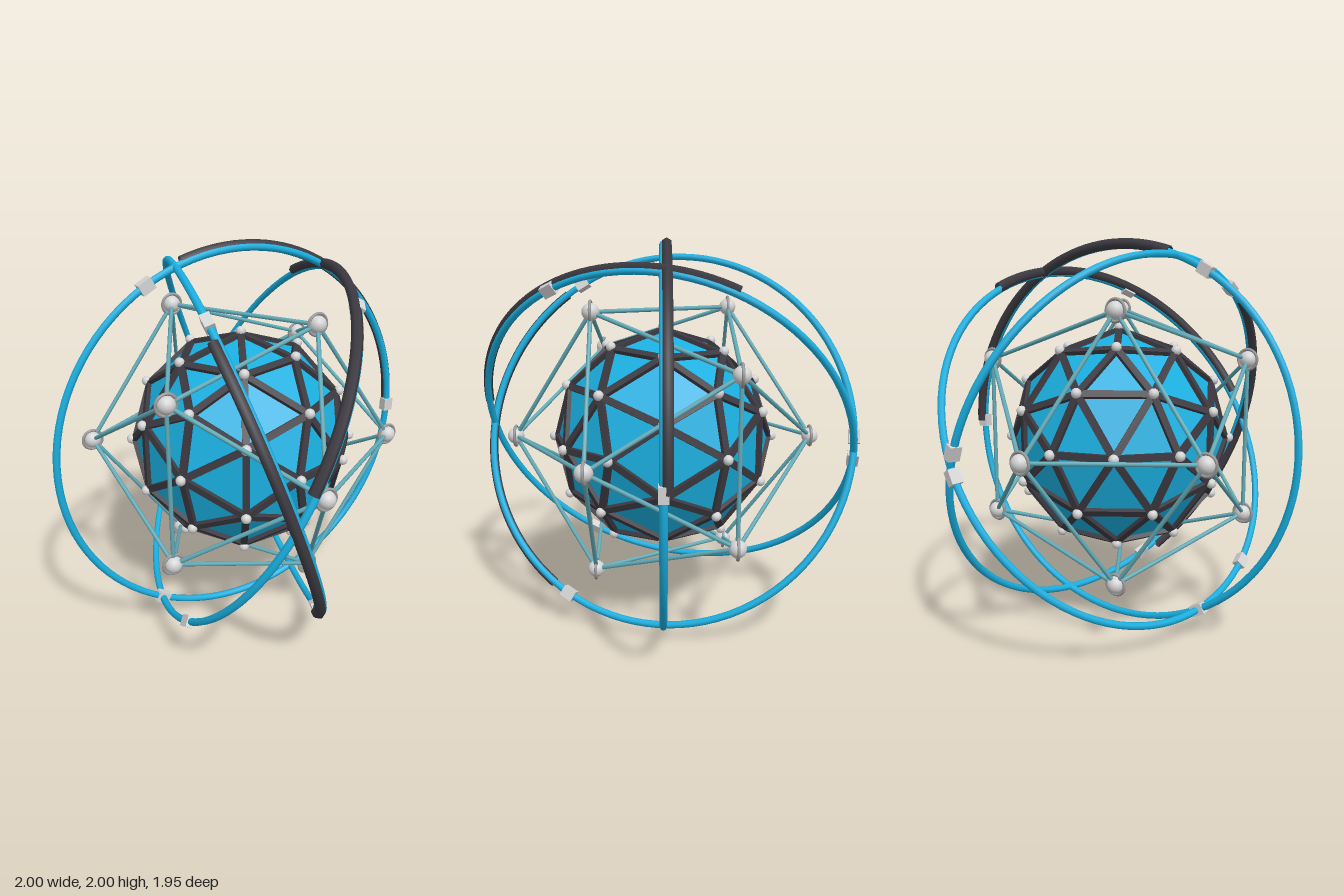
import * as THREE from 'three';
import { ConvexGeometry } from 'three/addons/geometries/ConvexGeometry.js';

const mat = (name, color, side = THREE.FrontSide) => {
  const m = new THREE.MeshStandardMaterial({ color, side });
  m.name = name;
  return m;
};
const V = (x, y, z) => new THREE.Vector3(x, y, z);

// Unit icosahedron with its five-fold axis along z
function icosahedronPoints() {
  const pts = [V(0, 0, 1), V(0, 0, -1)];
  const z = 1 / Math.sqrt(5), r = 2 * z;
  for (let i = 0; i < 10; i++) {
    const a = i * Math.PI / 5;
    pts.push(V(r * Math.cos(a), r * Math.sin(a), i % 2 ? -z : z));
  }
  return pts;
}

// All pairs of points closer than a limit
function edgesOf(pts, limit) {
  const out = [];
  pts.forEach((a, i) => pts.slice(i + 1).forEach(b => {
    if (a.distanceTo(b) < limit) out.push([a, b]);
  }));
  return out;
}

export function createModel() {
  const blue = mat('bright blue', 0x1aafe0);
  const dark = mat('charcoal', 0x3c3a41, THREE.DoubleSide);
  const teal = mat('grey teal', 0x62abb8);
  const silver = mat('light grey', 0xd4d4d4);
  const grey = mat('mid grey', 0x9c9c9c);

  const model = new THREE.Group();
  model.name = 'orbitalSphere';
  const body = new THREE.Group();
  body.name = 'assembly';
  body.position.set(-0.005, 0.993, 0);
  model.add(body);

  const add = (parent, name, geo, material) => {
    const m = new THREE.Mesh(geo, material);
    m.name = name;
    parent.add(m);
    return m;
  };

  // Bar between two points, its z side facing away from the centre
  const bar = (parent, name, geo, material, a, b) => {
    const m = add(parent, name, geo, material);
    const mid = a.clone().add(b).multiplyScalar(0.5);
    const along = b.clone().sub(a);
    const len = along.length();
    along.normalize();
    const out = mid.clone().normalize();
    const across = along.clone().cross(out);
    m.quaternion.setFromRotationMatrix(new THREE.Matrix4().makeBasis(across, along, out));
    m.position.copy(mid);
    m.scale.y = len;
  };

  const ico = icosahedronPoints();
  const icoEdges = edgesOf(ico, 1.1);

  // Faceted core: icosahedron points plus edge midpoints pushed out to the sphere
  const geo42 = ico.concat(icoEdges.map(([a, b]) => a.clone().add(b).normalize()));
  const corePts = geo42.map(p => p.clone().multiplyScalar(0.55));
  const core = new THREE.Group();
  core.name = 'core';
  body.add(core);
  add(core, 'corePanels', new ConvexGeometry(corePts), blue);
  const beamGeo = new THREE.BoxGeometry(0.034, 1, 0.036);
  edgesOf(corePts, 0.7 * 0.55).forEach(([a, b]) => bar(core, 'coreBeam', beamGeo, dark, a, b));
  const studGeo = new THREE.SphereGeometry(0.025, 12, 8);
  geo42.forEach(p => add(core, 'coreStud', studGeo, silver).position.copy(p).multiplyScalar(0.57));

  // Outer cage: rods, ball nodes and a thin collar on each node
  const cage = new THREE.Group();
  cage.name = 'cage';
  body.add(cage);
  const rodGeo = new THREE.CylinderGeometry(0.0105, 0.0105, 1, 8);
  const nodeGeo = new THREE.SphereGeometry(0.043, 16, 12);
  const collarGeo = new THREE.TorusGeometry(0.051, 0.008, 6, 24);
  const R = 0.772;
  icoEdges.forEach(([a, b]) => bar(cage, 'cageRod', rodGeo, teal,
    a.clone().multiplyScalar(R), b.clone().multiplyScalar(R)));
  ico.forEach(p => {
    add(cage, 'cageNode', nodeGeo, silver).position.copy(p).multiplyScalar(R);
    add(cage, 'nodeCollar', collarGeo, grey).position.copy(p).multiplyScalar(R);
  });

  // Orbit rings: thin hoop, a dark arc set behind it and three clamps each
  const hoopGeo = new THREE.TorusGeometry(0.973, 0.018, 8, 96);
  const arcGeo = new THREE.TorusGeometry(0.98, 0.026, 6, 40, Math.PI * 0.6);
  const clampGeo = new THREE.BoxGeometry(0.056, 0.07, 0.045);
  const ring = (name, axis, clampDir, arcStart) => {
    const g = new THREE.Group();
    g.name = name;
    const n = axis.normalize();
    const v = n.clone().cross(clampDir).normalize();
    const u = v.clone().cross(n);
    g.quaternion.setFromRotationMatrix(new THREE.Matrix4().makeBasis(u, v, n));
    add(g, 'hoop', hoopGeo, blue);
    const arc = add(g, 'hoopArc', arcGeo, dark);
    arc.position.z = -0.018;
    arc.rotation.z = THREE.MathUtils.degToRad(arcStart);
    for (let i = 0; i < 3; i++) {
      const c = add(g, 'hoopClamp', clampGeo, silver);
      const a = i * Math.PI * 2 / 3;
      c.position.set(0.973 * Math.cos(a), 0.973 * Math.sin(a), 0);
      c.rotation.z = a;
    }
    body.add(g);
  };
  ring('uprightRing', V(0, 0, 1), V(1, 0, 0), 0);
  ring('leftLeaningRing', V(0.91, 0.336, 0.241), V(-0.405, 0.775, 0.45), 6);
  ring('rightLeaningRing', V(0.841, -0.486, 0.238), V(0.295, 0.77, 0.53), -54);

  return model;
}
